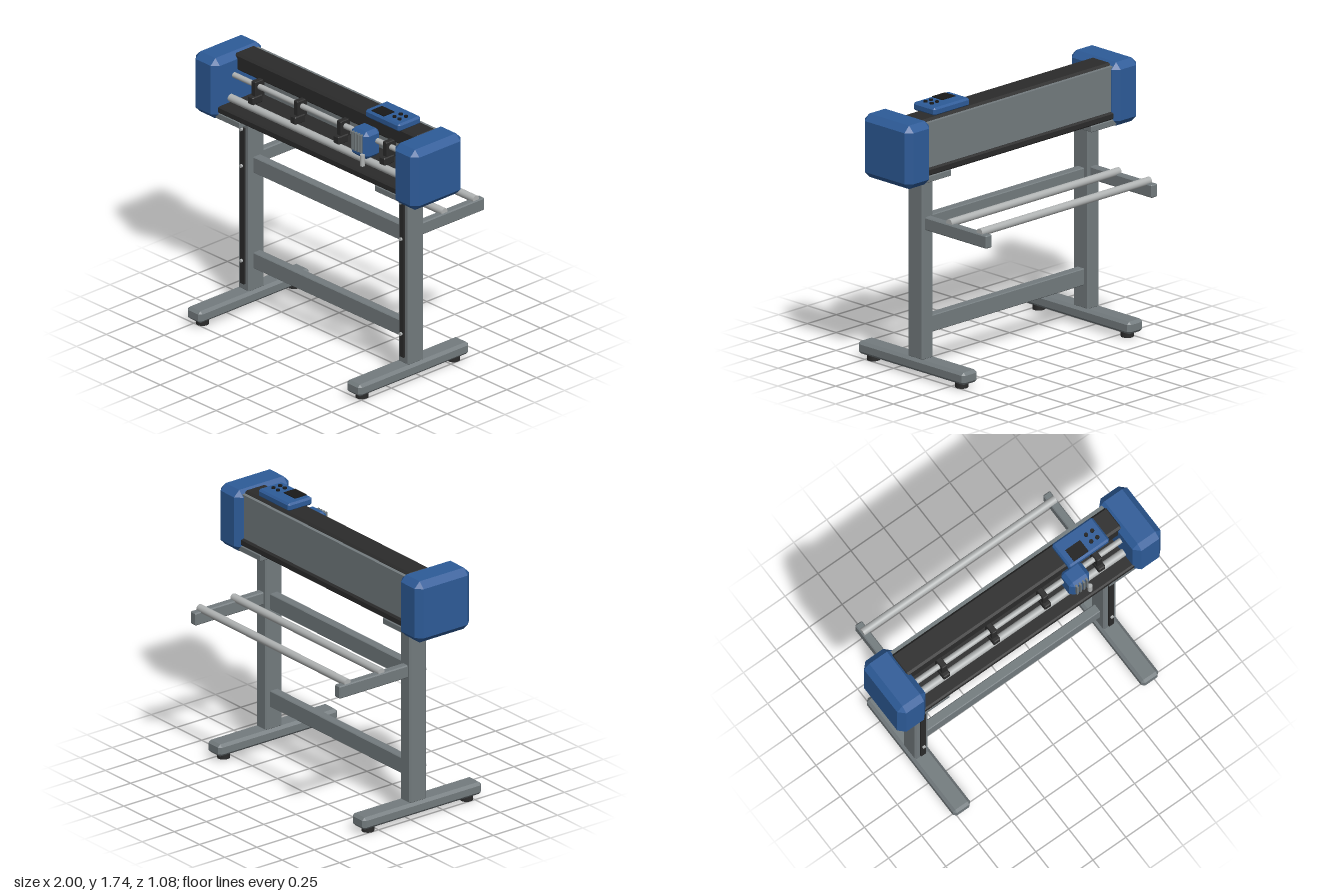
import * as THREE from 'three';
import { ConvexGeometry } from 'three/addons/geometries/ConvexGeometry.js';

const mat = (name, color) => {
  const m = new THREE.MeshStandardMaterial({ color });
  m.name = name;
  return m;
};

export function createModel() {
  const blue = mat('blue casing', 0x2d5b98);
  const grey = mat('grey frame', 0x737b7e);
  const dark = mat('dark trim', 0x2b2b2b);
  const steel = mat('light steel', 0xb0b3b3);
  const black = mat('black controls', 0x191919);

  const model = new THREE.Group();
  model.name = 'cuttingPlotter';

  const add = (name, geometry, material, x, y, z) => {
    const mesh = new THREE.Mesh(geometry, material);
    mesh.name = name;
    mesh.position.set(x, y, z);
    model.add(mesh);
    return mesh;
  };

  // Box given by its ranges, with every edge chamfered by c
  const block = (name, material, [x0, x1], [y0, y1], [z0, z1], c = 0) => {
    const w = x1 - x0, h = y1 - y0, d = z1 - z0;
    let geometry;
    if (c === 0) geometry = new THREE.BoxGeometry(w, h, d);
    else {
      const points = [];
      for (const sx of [-1, 1]) for (const sy of [-1, 1]) for (const sz of [-1, 1]) {
        const x = w / 2, y = h / 2, z = d / 2;
        points.push(
          new THREE.Vector3(sx * x, sy * (y - c), sz * (z - c)),
          new THREE.Vector3(sx * (x - c), sy * y, sz * (z - c)),
          new THREE.Vector3(sx * (x - c), sy * (y - c), sz * z));
      }
      geometry = new ConvexGeometry(points);
    }
    return add(name, geometry, material, (x0 + x1) / 2, (y0 + y1) / 2, (z0 + z1) / 2);
  };

  const around = (x, width) => [x - width / 2, x + width / 2];

  // Cylinder along the given axis
  const rod = (name, material, radius, length, axis, x, y, z) => {
    const geometry = new THREE.CylinderGeometry(radius, radius, length, 24);
    if (axis === 'x') geometry.rotateZ(Math.PI / 2);
    if (axis === 'z') geometry.rotateX(Math.PI / 2);
    return add(name, geometry, material, x, y, z);
  };

  // Stand: one leg assembly and end casing on each side
  for (const side of [-1, 1]) {
    const x = side * 0.714;
    block('footBar', grey, around(x, 0.128), [0.036, 0.117], [-0.385, 0.54], 0.018);
    for (const z of [-0.305, 0.462]) rod('footPad', dark, 0.04, 0.038, 'y', x, 0.019, z);
    block('post', grey, around(x, 0.098), [0.11, 1.3], [-0.014, 0.117], 0.01);
    block('postSlot', dark, around(x, 0.036), [0.16, 1.215], [0.11, 0.132]);
    for (const y of [0.318, 0.96, 1.208]) rod('slotBolt', steel, 0.011, 0.016, 'z', x, y, 0.136);
    block('mountPlate', grey, around(x, 0.218), [1.287, 1.328], [-0.105, 0.255], 0.004);
    block('rollArm', grey, around(x, 0.053), [0.946, 1.03], [-0.543, 0], 0.007);
    block('endCasing', blue, around(side * 0.893, 0.214), [1.28, 1.688], [-0.135, 0.288], 0.04);
  }

  // Cross beams and media roll rods
  for (const y of [0.317, 0.965]) block('crossBeam', grey, [-0.675, 0.675], around(y, 0.108), [0.02, 0.08], 0.005);
  for (const z of [-0.477, -0.213]) rod('mediaRod', steel, 0.025, 1.465, 'x', 0, 1.036, z);

  // Plotter body
  block('bodyBase', dark, [-0.82, 0.82], [1.326, 1.376], [-0.105, 0.257], 0.01);
  block('backPanel', grey, [-0.82, 0.82], [1.37, 1.665], [-0.09, -0.064]);
  block('topCover', dark, [-0.82, 0.82], [1.567, 1.68], [-0.066, 0.1], 0.014);
  rod('guideRail', steel, 0.018, 1.64, 'x', 0, 1.549, 0.128);
  rod('gritRoller', steel, 0.025, 1.64, 'x', 0, 1.405, 0.158);

  // Pinch roller clamps
  for (const x of [-0.577, -0.197, 0.19, 0.6]) {
    block('clampArm', dark, around(x, 0.038), [1.475, 1.588], [0.085, 0.165], 0.004);
    block('clampFoot', dark, around(x, 0.05), [1.44, 1.492], [0.105, 0.19], 0.006);
  }

  // Cutting carriage with ribs and blade holder
  block('carriage', blue, [0.343, 0.495], [1.437, 1.622], [0.09, 0.222], 0.026);
  for (let i = 0; i < 4; i++) block('carriageRib', grey, around(0.381 + i * 0.025, 0.012), [1.485, 1.605], [0.215, 0.237]);
  rod('bladeHolder', steel, 0.015, 0.075, 'y', 0.475, 1.444, 0.234);

  // Control panel with screen and buttons
  block('controlPanel', blue, [0.39, 0.698], [1.675, 1.728], [-0.052, 0.136], 0.012);
  block('screen', black, [0.435, 0.547], [1.727, 1.733], [0.032, 0.122]);
  for (const x of [0.597, 0.643]) for (const z of [0.027, 0.08])
    rod('button', black, 0.013, 0.012, 'y', x, 1.731, z);

  return model;
}
